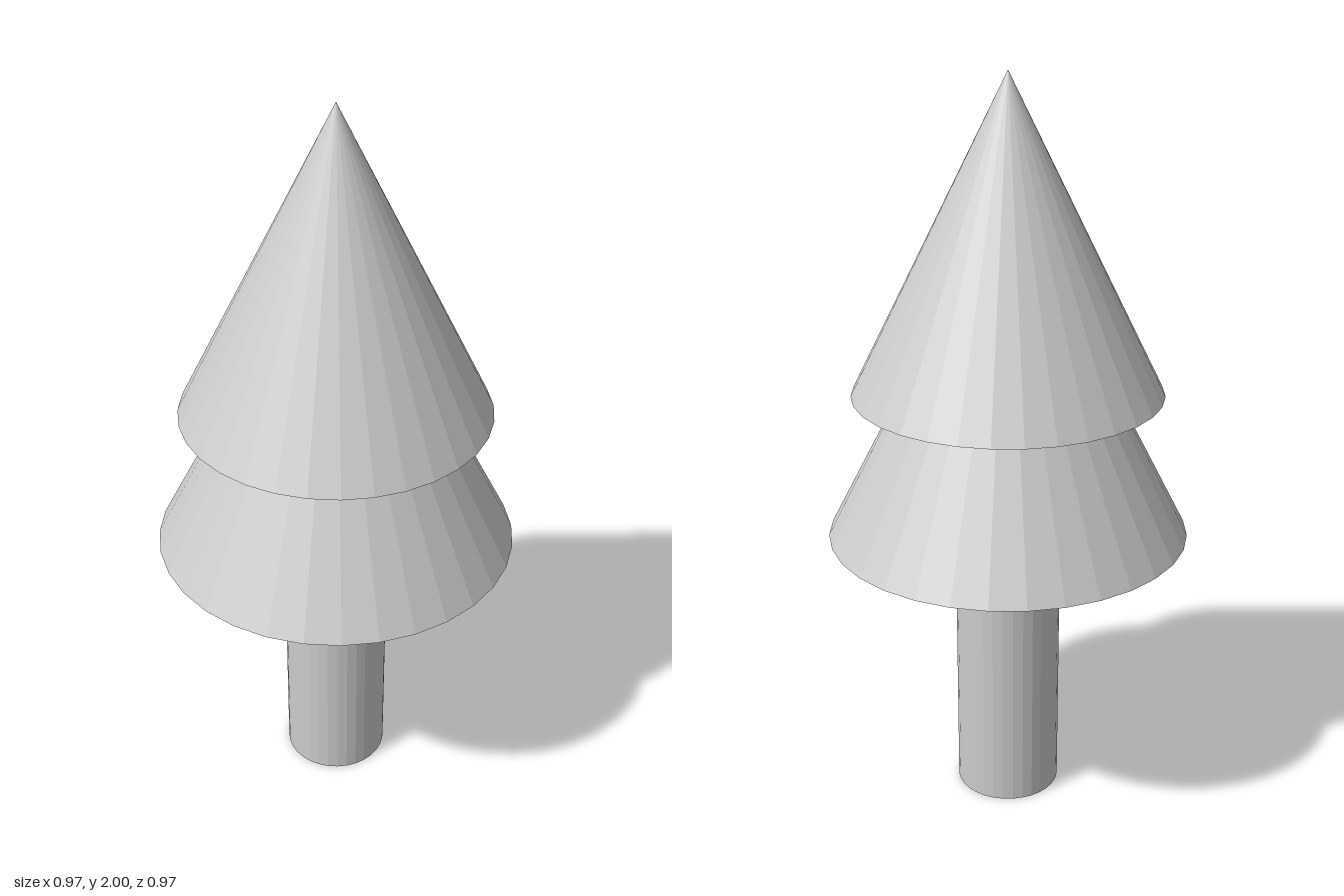
import * as THREE from 'three';

const SIDES = 32;

export function createModel() {
  const tree = new THREE.Group();
  tree.name = 'tree';
  const material = new THREE.MeshStandardMaterial({ color: 0xcccccc, flatShading: true });

  // Adds a round part standing on height y
  const addPart = (name, topRadius, bottomRadius, y, height) => {
    const geometry = new THREE.CylinderGeometry(topRadius, bottomRadius, height, SIDES);
    const mesh = new THREE.Mesh(geometry, material);
    mesh.name = name;
    mesh.position.y = y + height / 2;
    tree.add(mesh);
  };

  // Trunk, reaching just inside the lower foliage
  addPart('trunk', 0.143, 0.143, 0, 0.8);
  // Two overlapping foliage cones
  addPart('lowerFoliage', 0, 0.485, 0.783, 0.94);
  addPart('upperFoliage', 0, 0.412, 1.176, 0.824);

  return tree;
}
